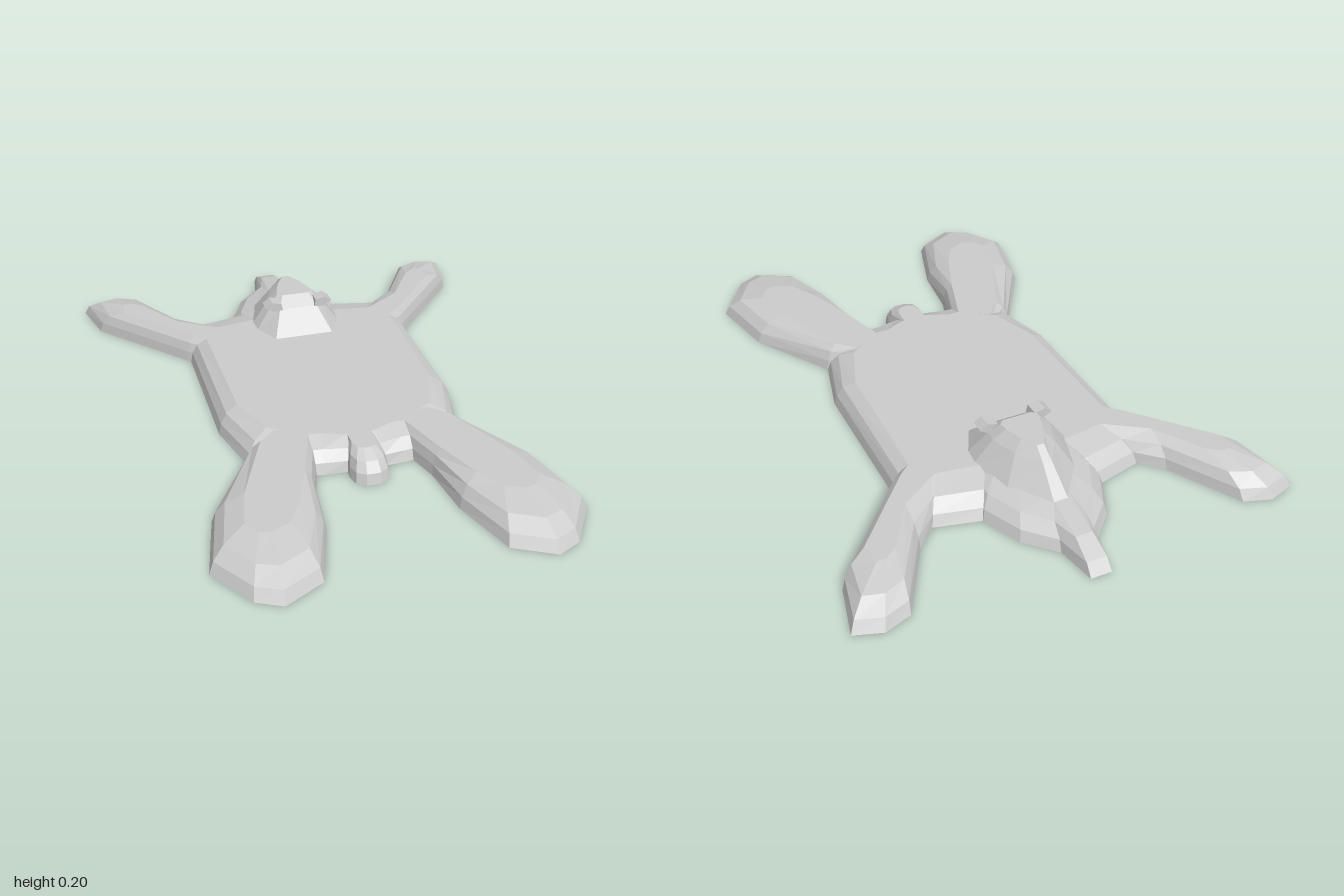
import * as THREE from 'three';

const material = new THREE.MeshStandardMaterial({ color: 0xcccccc, flatShading: true });
const THICK = 0.09;

function addMesh(parent, name, geometry) {
  const mesh = new THREE.Mesh(geometry, material);
  mesh.name = name;
  parent.add(mesh);
}

// Closed solid through horizontal rings of [x, y, z], lowest first
function loft(rings) {
  const flat = (ring) => ring.map(([x, , z]) => new THREE.Vector2(x, -z));
  if (THREE.ShapeUtils.area(flat(rings[0])) < 0) rings = rings.map((r) => [...r].reverse());
  const n = rings[0].length;
  const index = [];
  for (let k = 0; k < rings.length - 1; k++) {
    for (let i = 0; i < n; i++) {
      const j = (i + 1) % n;
      const a = k * n + i, b = k * n + j;
      index.push(a, b, b + n, a, b + n, a + n);
    }
  }
  const last = (rings.length - 1) * n;
  for (const [a, b, c] of THREE.ShapeUtils.triangulateShape(flat(rings[0]), [])) index.push(c, b, a);
  for (const [a, b, c] of THREE.ShapeUtils.triangulateShape(flat(rings[rings.length - 1]), [])) {
    index.push(last + a, last + b, last + c);
  }
  const geometry = new THREE.BufferGeometry();
  geometry.setAttribute('position', new THREE.Float32BufferAttribute(rings.flat(2), 3));
  geometry.setIndex(index);
  const faceted = geometry.toNonIndexed();
  faceted.computeVertexNormals();
  return faceted;
}

// Flat slab with a rounded rim; each point is [x, z at the floor, x, z on top]
function slab(points) {
  const rim = [[0, 0], [0.12, 0.4], [0.42, 0.76], [1, 1]];
  return loft(rim.map(([t, h]) => points.map(([x, z, xt, zt]) => [
    x + (xt - x) * t, h * THICK, z + (zt - z) * t,
  ])));
}

// Mirrors half an outline across x = 0
const whole = (half) => [...half, ...half.map(([x, z, xt, zt]) => [-x, z, -xt, zt]).reverse()];

export function createModel() {
  const group = new THREE.Group();

  // Main body, back edge to front edge
  addMesh(group, 'torso', slab(whole([
    [0.20, -0.65, 0.16, -0.50], [0.36, -0.61, 0.29, -0.48], [0.41, -0.46, 0.35, -0.40],
    [0.41, 0.10, 0.34, 0.07], [0.36, 0.30, 0.28, 0.24], [0.18, 0.42, 0.16, 0.32],
    [0.14, 0.425, 0.12, 0.32], [0.06, 0.43, 0.05, 0.35],
  ])));

  // Muzzle and neck, tapering towards the back
  addMesh(group, 'neck', slab(whole([
    [0.035, -1.0, 0.02, -0.74], [0.06, -0.87, 0.04, -0.72], [0.15, -0.78, 0.09, -0.65],
    [0.21, -0.65, 0.13, -0.56], [0.20, -0.48, 0.15, -0.48],
  ])));

  // Short tail between the hind legs
  addMesh(group, 'tail', slab(whole([
    [0.05, 0.36, 0.04, 0.34], [0.065, 0.46, 0.04, 0.40], [0.055, 0.50, 0.03, 0.43],
    [0.025, 0.52, 0.012, 0.44],
  ])));

  // Limbs, outer edge round the paw to the inner edge
  const foreleg = [
    [0.32, -0.33, 0.30, -0.36], [0.42, -0.42, 0.39, -0.44], [0.70, -0.74, 0.61, -0.69],
    [0.74, -0.91, 0.60, -0.76], [0.65, -0.94, 0.57, -0.76], [0.56, -0.91, 0.53, -0.73],
    [0.43, -0.68, 0.43, -0.57], [0.36, -0.61, 0.31, -0.49], [0.22, -0.48, 0.22, -0.45],
  ];
  const hindLeg = [
    [0.27, 0.24, 0.26, 0.26], [0.36, 0.30, 0.32, 0.32], [0.53, 0.57, 0.43, 0.58],
    [0.585, 0.81, 0.46, 0.72], [0.49, 0.96, 0.43, 0.77], [0.41, 1.0, 0.39, 0.78],
    [0.28, 0.93, 0.33, 0.75], [0.21, 0.71, 0.28, 0.66], [0.19, 0.52, 0.22, 0.50],
    [0.15, 0.38, 0.16, 0.31],
  ];
  for (const [side, label] of [[1, 'left'], [-1, 'right']]) {
    const flip = (points) => points.map(([x, z, xt, zt]) => [side * x, z, side * xt, zt]);
    addMesh(group, `${label}Foreleg`, slab(flip(foreleg)));
    addMesh(group, `${label}HindLeg`, slab(flip(hindLeg)));

    // Small ear, a thin angular block
    const profile = [[0.06, 0.165], [0.095, 0.163], [0.125, 0.18], [0.10, 0.199], [0.065, 0.19]];
    const shape = new THREE.Shape(profile.map(([x, y]) => new THREE.Vector2(side * x, y)));
    const ear = new THREE.ExtrudeGeometry(shape, { depth: 0.05, bevelEnabled: false });
    ear.translate(0, 0, -0.455);
    addMesh(group, `${label}Ear`, ear);
  }

  // Faceted head rising from the pelt, as half rings of [x, z]
  const levels = [
    [0.08, [[0.11, -0.32], [0.16, -0.42], [0.165, -0.48], [0.12, -0.63], [0.025, -0.76]]],
    [0.165, [[0.07, -0.41], [0.095, -0.45], [0.10, -0.49], [0.07, -0.58], [0.015, -0.66]]],
    [0.2, [[0.05, -0.455], [0.065, -0.47], [0.06, -0.50], [0.04, -0.56], [0.012, -0.61]]],
  ];
  addMesh(group, 'head', loft(levels.map(([y, half]) => [
    ...half.map(([x, z]) => [x, y, z]),
    ...half.map(([x, z]) => [-x, y, z]).reverse(),
  ])));

  return group;
}
